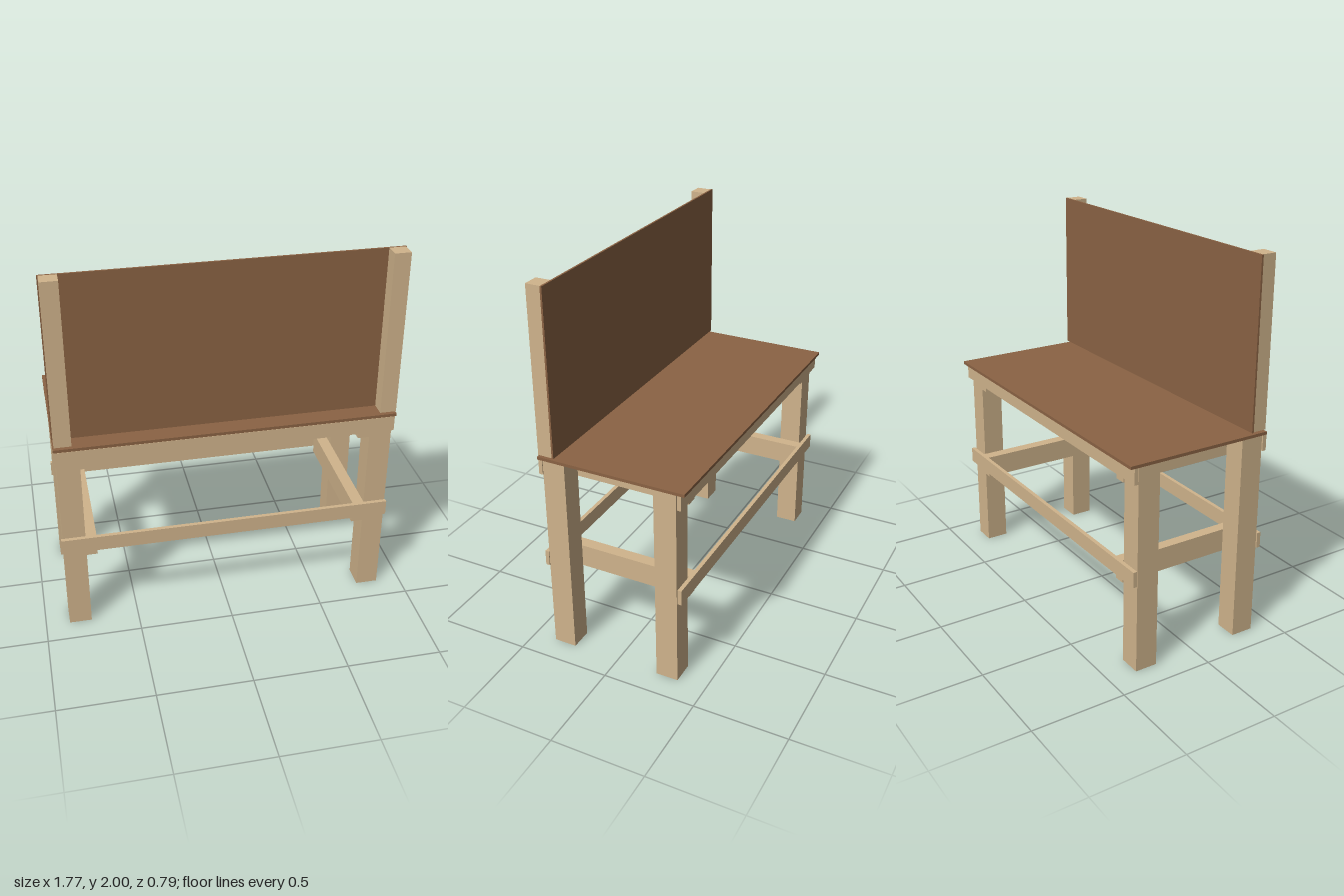
import * as THREE from 'three';

export function createModel() {
  const model = new THREE.Group();
  model.name = 'workbench';
  const timber = new THREE.MeshStandardMaterial({ color: 0xd0b48c });
  timber.name = 'pale timber';
  const panel = new THREE.MeshStandardMaterial({ color: 0x8b6344 });
  panel.name = 'brown panel';

  // Box given by its extents along each axis
  function board(name, material, [x0, x1], [y0, y1], [z0, z1]) {
    const mesh = new THREE.Mesh(new THREE.BoxGeometry(x1 - x0, y1 - y0, z1 - z0), material);
    mesh.position.set((x0 + x1) / 2, (y0 + y1) / 2, (z0 + z1) / 2);
    mesh.name = name;
    model.add(mesh);
  }

  const legsX = [[-0.873, -0.755], [0.752, 0.87]];
  const crossX = [[-0.755, -0.698], [0.69, 0.752]];
  const postsX = [[-0.877, -0.79], [0.795, 0.88]];

  for (const i of [0, 1]) {
    // Legs
    board('frontLeg', timber, legsX[i], [0, 1.1], [0.255, 0.376]);
    board('backLeg', timber, legsX[i], [0, 1.1], [-0.347, -0.228]);

    // Cross beams along the inner faces of the legs
    board('upperCrossBeam', timber, crossX[i], [0.978, 1.1], [-0.354, 0.376]);
    board('lowerCrossBeam', timber, crossX[i], [0.443, 0.565], [-0.354, 0.376]);

    // Posts carrying the upright panel
    board('panelPost', timber, postsX[i], [1.127, 2], [0.313, 0.391]);
  }

  // Long rails, front and back, at two heights
  for (const y of [[1.017, 1.1], [0.482, 0.565]]) {
    board('frontRail', timber, [-0.881, 0.875], y, [0.376, 0.397]);
    board('backRail', timber, [-0.881, 0.875], y, [-0.375, -0.354]);
  }

  // Worktop and upright panel
  board('worktop', panel, [-0.883, 0.883], [1.101, 1.117], [-0.397, 0.397]);
  board('uprightPanel', panel, [-0.883, 0.883], [1.127, 2], [0.303, 0.313]);

  return model;
}
